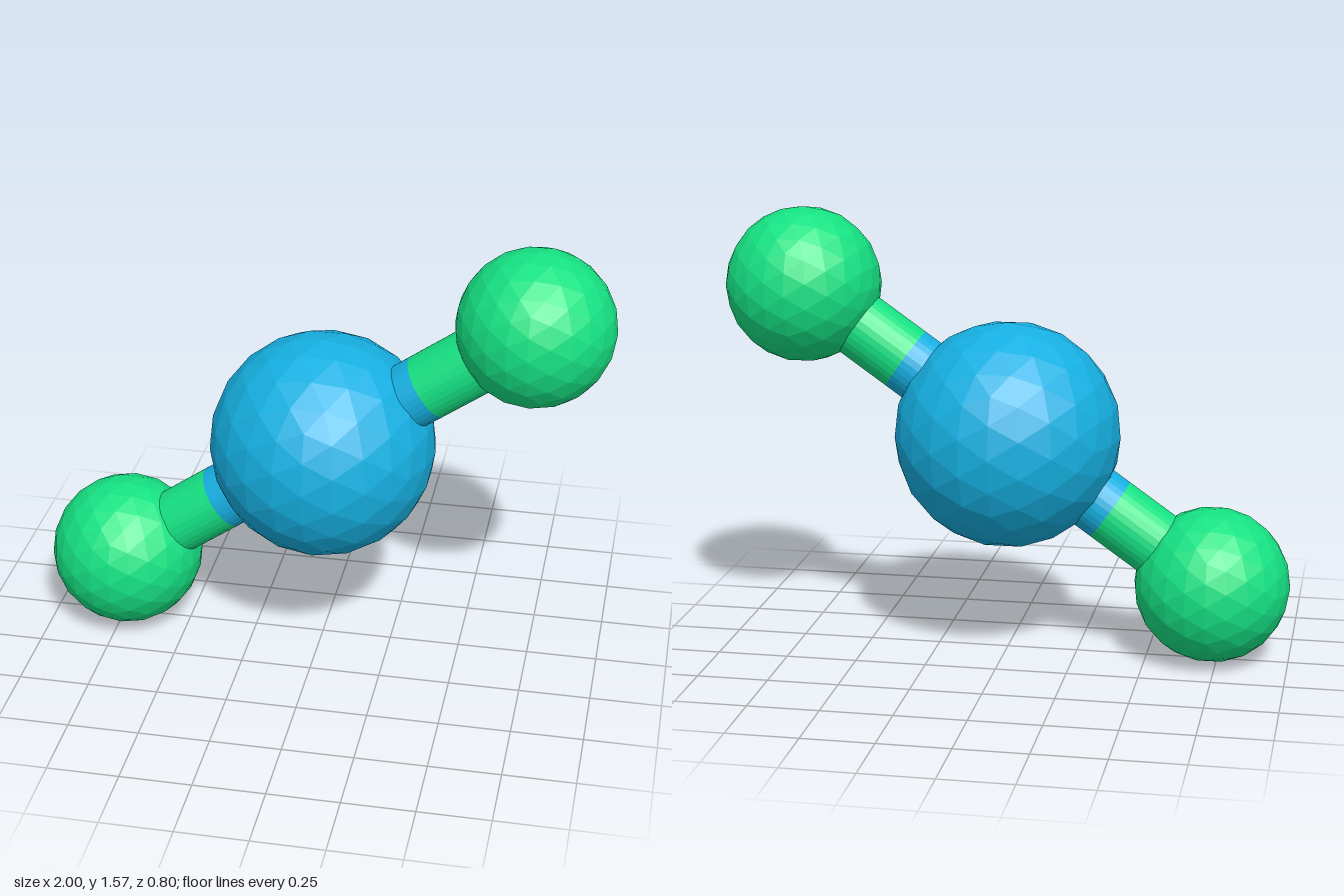
import * as THREE from 'three';

const BLUE = new THREE.MeshStandardMaterial({ color: 0x16b0e2, flatShading: true });
const GREEN = new THREE.MeshStandardMaterial({ color: 0x16e283, flatShading: true });
const CENTRE = new THREE.Vector3(0, 0.785, 0);
const OFFSET = new THREE.Vector3(0.727, 0.511, 0);

// Faceted ball
function ball(name, radius, position, material) {
  const mesh = new THREE.Mesh(new THREE.IcosahedronGeometry(radius, 3), material);
  mesh.name = name;
  mesh.position.copy(position);
  return mesh;
}

// Round rod between two points
function rod(name, from, to, material) {
  const along = to.clone().sub(from);
  const mesh = new THREE.Mesh(new THREE.CylinderGeometry(0.118, 0.118, along.length(), 32), material);
  mesh.name = name;
  mesh.position.copy(from).add(to).multiplyScalar(0.5);
  mesh.quaternion.setFromUnitVectors(new THREE.Vector3(0, 1, 0), along.normalize());
  return mesh;
}

export function createModel() {
  const model = new THREE.Group();
  model.name = 'ballAndStickModel';
  model.add(ball('centreBall', 0.398, CENTRE, BLUE));

  // Outer balls, each joined by a rod coloured half and half
  for (const [side, sign] of [['left', 1], ['right', -1]]) {
    const end = CENTRE.clone().addScaledVector(OFFSET, sign);
    const middle = CENTRE.clone().lerp(end, 0.5);
    model.add(
      ball(`${side}OuterBall`, 0.273, end, GREEN),
      rod(`${side}InnerRod`, CENTRE, middle, BLUE),
      rod(`${side}OuterRod`, middle, end, GREEN)
    );
  }
  return model;
}
